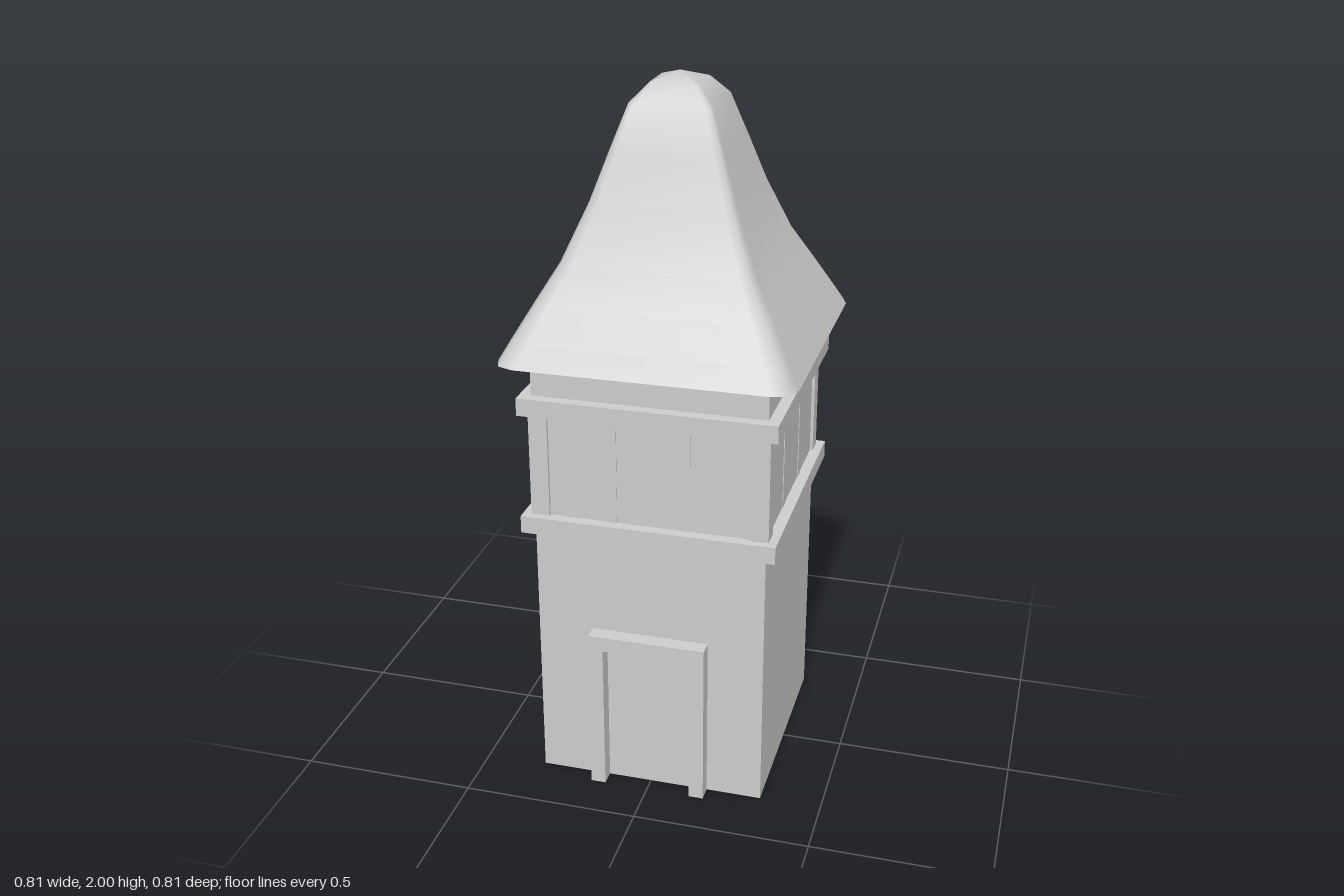
import * as THREE from 'three';

const grey = new THREE.MeshStandardMaterial({ color: 0xcccccc });
const flatThin = new THREE.MeshStandardMaterial({ color: 0xcccccc, side: THREE.DoubleSide, flatShading: true });
const smoothThin = new THREE.MeshStandardMaterial({ color: 0xcccccc, side: THREE.DoubleSide });

const WALL = 0.325; // half width of the tower

function add(parent, name, geometry, material = grey) {
  const mesh = new THREE.Mesh(geometry, material);
  mesh.name = name;
  parent.add(mesh);
  return mesh;
}

function box(parent, name, w, h, d, x, y, z) {
  const mesh = add(parent, name, new THREE.BoxGeometry(w, h, d));
  mesh.position.set(x, y, z);
  return mesh;
}

function squareLoop(PathType, r) {
  return new PathType([[-r, -r], [r, -r], [r, r], [-r, r]].map(([x, y]) => new THREE.Vector2(x, y))).closePath();
}

// Square moulding that wraps around the walls
function bandGeometry(outer, inner, height) {
  const shape = squareLoop(THREE.Shape, outer);
  shape.holes.push(squareLoop(THREE.Path, inner));
  return new THREE.ExtrudeGeometry(shape, { depth: height, bevelEnabled: false }).rotateX(-Math.PI / 2);
}

// Door surround: an upside-down U that passes through the front wall
function doorFrameGeometry() {
  const points = [[-0.167, 0], [-0.167, 0.487], [0.167, 0.487], [0.167, 0], [0.125, 0], [0.125, 0.443], [-0.125, 0.443], [-0.125, 0]];
  const shape = new THREE.Shape(points.map(([x, y]) => new THREE.Vector2(x, y)));
  return new THREE.ExtrudeGeometry(shape, { depth: 0.1, bevelEnabled: false }).translate(0, 0, 0.27);
}

// Flared roof: rounded-square rings stacked along a profile, closed by an apex
function roofGeometry() {
  const profile = [[0.405, 1.28], [0.372, 1.34], [0.32, 1.432], [0.265, 1.527], [0.2, 1.68], [0.155, 1.81], [0.113, 1.927], [0.066, 1.977]];
  const corner = [[1, 0.85], [0.96, 0.96], [0.85, 1]];
  const sides = corner.length * 4;
  const positions = [];
  const index = [];
  for (const [r, y] of profile) {
    for (let q = 0; q < 4; q++) {
      const c = Math.round(Math.cos(q * Math.PI / 2));
      const s = Math.round(Math.sin(q * Math.PI / 2));
      for (const [a, b] of corner) positions.push(r * (a * c - b * s), y, r * (a * s + b * c));
    }
  }
  const apex = positions.length / 3;
  positions.push(0, 2, 0);
  for (let i = 0; i < profile.length; i++) {
    for (let j = 0; j < sides; j++) {
      const a = i * sides + j;
      const b = i * sides + (j + 1) % sides;
      if (i === profile.length - 1) index.push(a, apex, b);
      else index.push(a, a + sides, b, b, a + sides, b + sides);
    }
  }
  const geometry = new THREE.BufferGeometry();
  geometry.setAttribute('position', new THREE.Float32BufferAttribute(positions, 3));
  geometry.setIndex(index);
  geometry.computeVertexNormals();
  return geometry;
}

export function createModel() {
  const tower = new THREE.Group();
  tower.name = 'tower';

  // Hollow walls, open at the bottom
  const wallHeight = 1.36;
  const walls = new THREE.CylinderGeometry(WALL * Math.SQRT2, WALL * Math.SQRT2, wallHeight, 4, 1, true);
  walls.rotateY(Math.PI / 4).translate(0, wallHeight / 2, 0);
  add(tower, 'walls', walls, flatThin);

  add(tower, 'doorFrame', doorFrameGeometry());

  // Mouldings below and above the gallery
  add(tower, 'lowerBand', bandGeometry(0.357, 0.32, 0.05)).position.y = 0.78;
  add(tower, 'upperBand', bandGeometry(0.357, 0.32, 0.05)).position.y = 1.13;

  // Corner posts
  const gallery = new THREE.Group();
  gallery.name = 'gallery';
  tower.add(gallery);
  for (const x of [-1, 1]) {
    for (const z of [-1, 1]) box(gallery, 'cornerPost', 0.053, 0.3, 0.053, x * 0.307, 0.98, z * 0.307);
  }

  // Two slim posts on each side, barely proud of the wall
  for (let i = 0; i < 4; i++) {
    const side = new THREE.Group();
    side.name = 'gallerySide';
    side.rotation.y = i * Math.PI / 2;
    const proud = i < 2 ? 0.002 : 0.007;
    for (const x of [-0.103, 0.103]) box(side, 'slimPost', 0.028, 0.3, 0.01, x, 0.98, WALL + proud - 0.005);
    gallery.add(side);
  }

  add(tower, 'roof', roofGeometry(), smoothThin);
  return tower;
}
